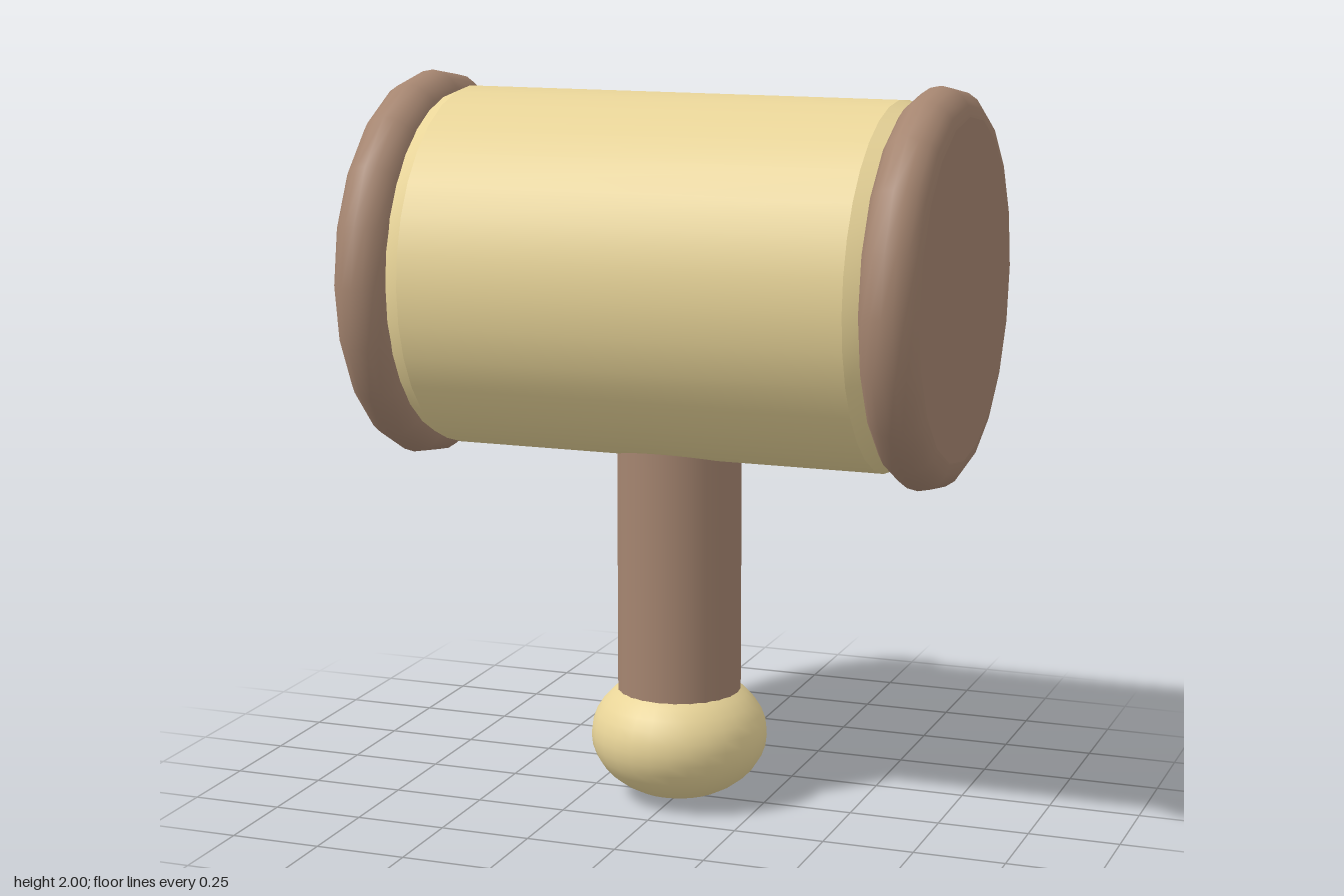
import * as THREE from 'three';
import { toCreasedNormals } from 'three/addons/utils/BufferGeometryUtils.js';

const TAN = new THREE.MeshStandardMaterial({ color: 0xe8d498 });
const BROWN = new THREE.MeshStandardMaterial({ color: 0xa58570 });
const HEAD_Y = 1.467;

function part(name, geometry, material) {
  const mesh = new THREE.Mesh(geometry, material);
  mesh.name = name;
  return mesh;
}

function lathe(points, segments) {
  return new THREE.LatheGeometry(points.map(([r, y]) => new THREE.Vector2(r, y)), segments);
}

export function createModel() {
  const model = new THREE.Group();
  model.name = 'mallet';

  // Head, turned on its own axis and then laid along x
  const head = new THREE.Group();
  head.name = 'head';
  head.position.y = HEAD_Y;
  head.rotation.z = -Math.PI / 2;
  model.add(head);

  // Barrel with a small chamfer at each end
  const barrel = lathe([[0.472, -0.66], [0.493, -0.61], [0.493, 0.61], [0.472, 0.66]], 32);
  head.add(part('barrel', toCreasedNormals(barrel, 0.35), TAN));

  // Rounded rim and flat striking face at each end
  const rimR = 0.455, tube = 0.078, rimY = 0.722;
  const arc = [];
  for (let i = 0; i <= 8; i++) {
    const a = -Math.PI / 2 + (i / 8) * Math.PI;
    arc.push([rimR + tube * Math.cos(a), tube * Math.sin(a)]);
  }
  for (const side of [1, -1]) {
    const end = new THREE.Group();
    end.name = side > 0 ? 'leftEnd' : 'rightEnd';
    end.position.y = side * rimY;
    if (side < 0) end.rotation.x = Math.PI;
    end.add(part('rim', lathe(arc, 20), BROWN));
    end.add(part('strikingFace', lathe([[rimR, tube], [0, tube]], 20), BROWN));
    end.add(part('rimBack', lathe([[0, -tube], [rimR, -tube]], 20), BROWN));
    head.add(end);
  }

  // Handle, running up into the barrel
  const handle = part('handle', new THREE.CylinderGeometry(0.171, 0.171, 0.95, 24), BROWN);
  handle.position.y = 0.675;
  model.add(handle);

  // Flattened ball at the foot of the handle
  const knob = part('knob', new THREE.SphereGeometry(0.245, 28, 18), TAN);
  knob.scale.y = 0.181 / 0.245;
  knob.position.y = 0.183;
  model.add(knob);

  return model;
}
